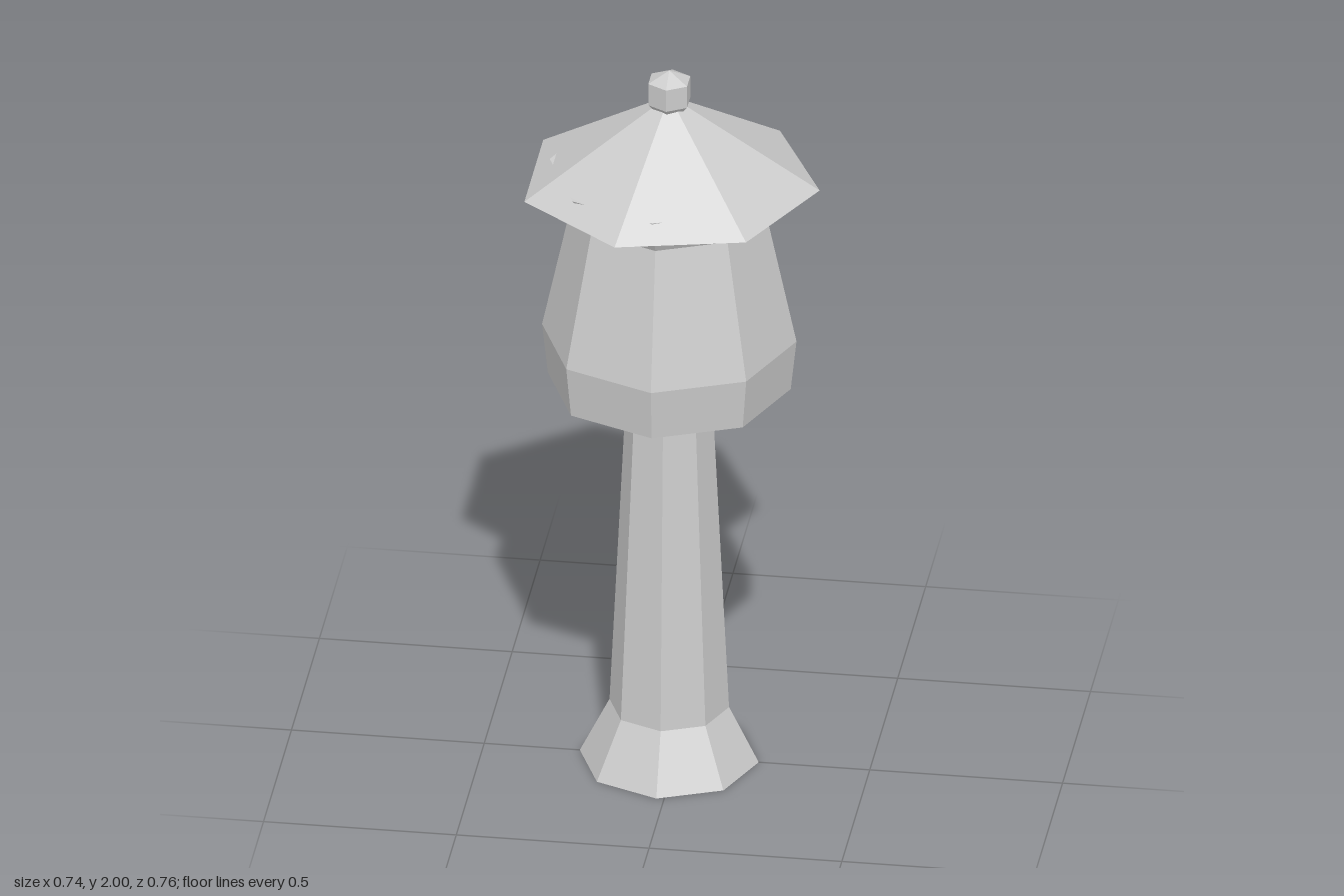
import * as THREE from 'three';

const stone = new THREE.MeshStandardMaterial({ color: 0xcccccc, flatShading: true });
stone.name = 'light grey';

// Faceted turned part from [radius, height] pairs, listed bottom to top
function turned(name, sides, profile, start = 0) {
  const points = profile.map(([r, y]) => new THREE.Vector2(r, y));
  const geometry = new THREE.LatheGeometry(points, sides, start).toNonIndexed();
  geometry.computeVertexNormals();
  const mesh = new THREE.Mesh(geometry, stone);
  mesh.name = name;
  return mesh;
}

export function createModel() {
  const tower = new THREE.Group();
  tower.name = 'tower';

  // Eight-sided column with flared foot
  tower.add(turned('column', 8, [[0, 0], [0.232, 0], [0.155, 0.155], [0.11, 1.095]]));

  // Eight-sided chamber; its flared rim just pierces the roof
  tower.add(turned('chamber', 8, [
    [0, 1.095], [0.315, 1.095], [0.33, 1.235], [0.25, 1.607], [0.31, 1.718], [0, 1.718],
  ]));

  // Seven-sided roof with a corner towards +x
  tower.add(turned('roof', 7, [[0, 1.68], [0.39, 1.68], [0, 1.927]], Math.PI / 2));

  // Six-sided finial
  tower.add(turned('finial', 6, [
    [0, 1.896], [0.046, 1.896], [0.058, 1.91], [0.058, 1.972], [0, 2],
  ]));

  // The uneven roof shifts the common axis off centre
  tower.children.forEach((part) => { part.position.x = -0.02; });
  return tower;
}
